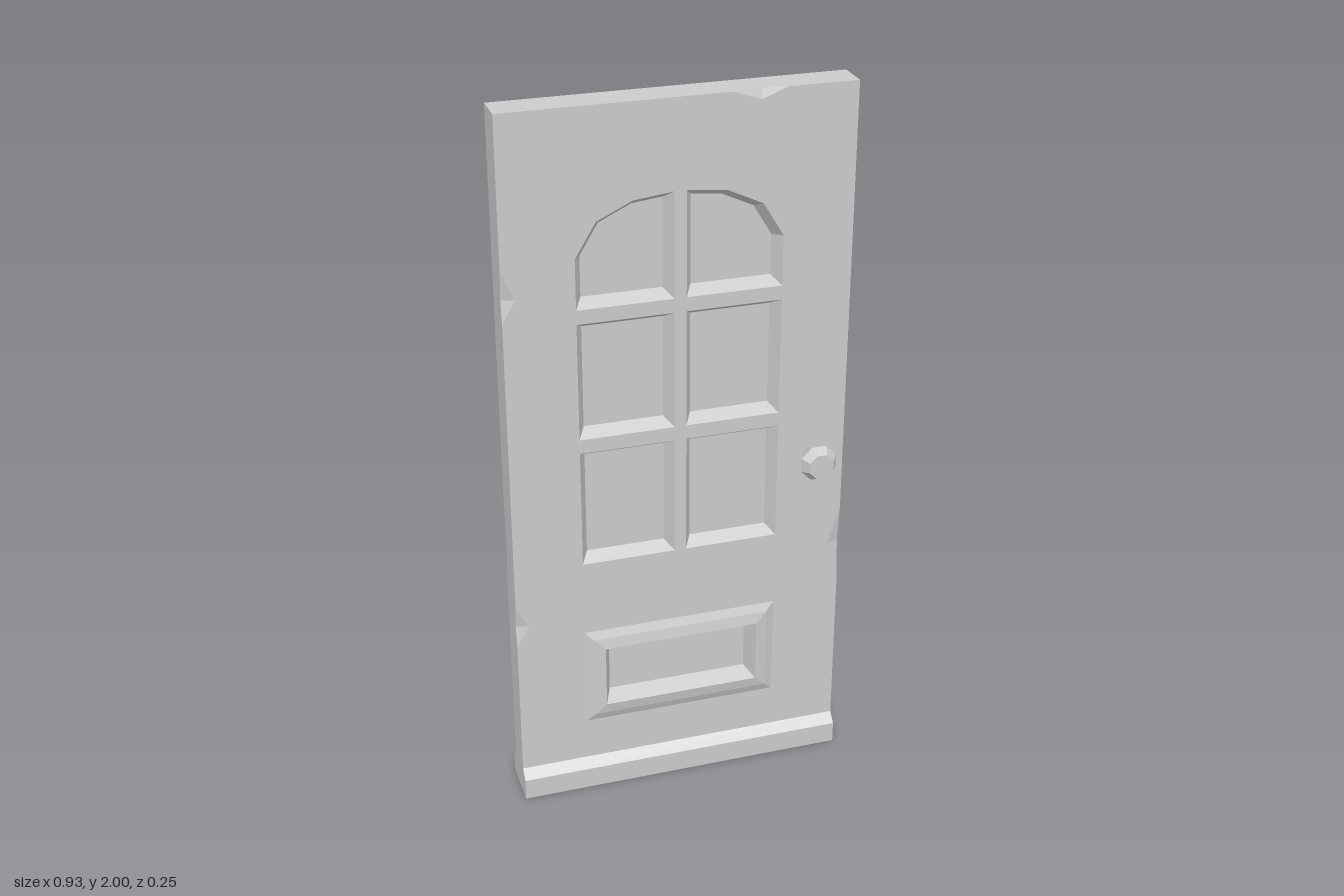
import * as THREE from 'three';

const W = 0.465, TOP = 2, BASE = 0.05, H = 0.046, MIDZ = -0.002;
const V2 = (x, y) => new THREE.Vector2(x, y);
const V3 = (x, y, z) => new THREE.Vector3(x, y, z);

const material = () => new THREE.MeshStandardMaterial({ color: 0xcccccc, flatShading: true });

function makeMesh(name, geometry) {
  const mesh = new THREE.Mesh(geometry, material());
  mesh.name = name;
  return mesh;
}

// Collects triangles; a negative direction reverses the winding
class Surface {
  constructor() { this.points = []; }
  tri(a, b, c, dir = 1) { this.points.push(a, ...(dir > 0 ? [b, c] : [c, b])); }
  polygon(contour, holes, place, dir) {
    const all = [contour, ...holes].flat();
    for (const f of THREE.ShapeUtils.triangulateShape(contour, holes)) {
      this.tri(...f.map((i) => place(all[i])), dir);
    }
  }
  band(outer, z0, inner, z1, dir) {
    outer.forEach((p, i) => {
      const j = (i + 1) % outer.length, q = outer[j];
      const a = V3(p.x, p.y, z0), b = V3(q.x, q.y, z0);
      const c = V3(inner[j].x, inner[j].y, z1), d = V3(inner[i].x, inner[i].y, z1);
      this.tri(a, b, c, dir);
      this.tri(a, c, d, dir);
    });
  }
  mesh(name) {
    const g = new THREE.BufferGeometry().setFromPoints(this.points);
    g.computeVertexNormals();
    return makeMesh(name, g);
  }
}

// Moves every side of a counter-clockwise outline inward by d
function inset(loop, d) {
  return loop.map((p, i) => {
    const prev = loop[(i + loop.length - 1) % loop.length], next = loop[(i + 1) % loop.length];
    const e = p.clone().sub(prev).normalize(), f = next.clone().sub(p).normalize();
    const n = V2(-e.y - f.y, e.x + f.x);
    return p.clone().addScaledVector(n, d / (1 + e.dot(f)));
  });
}

const rect = (x0, x1, y0, y1) => [V2(x0, y0), V2(x1, y0), V2(x1, y1), V2(x0, y1)];

// Outlines of the six window openings, the top pair forming an arch
const rightArch = [
  V2(0.016, 1.472), V2(0.275, 1.472), V2(0.275, 1.61),
  V2(0.219, 1.703), V2(0.124, 1.748), V2(0.016, 1.76),
];
const leftArch = rightArch.map((p) => V2(-p.x, p.y)).reverse();
const windows = [rightArch, leftArch];
for (const [y0, y1] of [[0.727, 1.065], [1.105, 1.433]]) {
  windows.push(rect(0.016, 0.275, y0, y1), rect(-0.275, -0.016, y0, y1));
}
const panelOutline = rect(-0.275, 0.275, 0.213, 0.508);

// Edges of the slab: position along the edge u and distance d in from it
const edges = {
  right: { from: BASE, to: TOP, dir: 1, at: (u, d) => V2(W - d, u) },
  top: { from: -W, to: W, dir: -1, at: (u, d) => V2(u, TOP - d) },
  left: { from: BASE, to: TOP, dir: -1, at: (u, d) => V2(d - W, u) },
};

// Worn chips: face, edge, start, middle, end, cut across the face, cut into the side
const chips = [
  [1, 'right', 0.55, 0.67, 0.78, 0.036, 0.011],
  [1, 'top', 0.13, 0.21, 0.275, 0.026, 0.009],
  [1, 'left', 1.46, 1.52, 1.6, 0.036, 0.01],
  [1, 'left', 0.5, 0.56, 0.62, 0.036, 0.01],
  [-1, 'right', 1.18, 1.34, 1.48, 0.03, 0.011],
  [-1, 'left', 0.67, 0.78, 0.95, 0.03, 0.012],
].map(([face, edge, a, m, b, cut, depth]) => ({ face, edge, a, m, b, cut, depth }));

// Points along one edge, dipping at each chip
function edgeLine(face, edge, key) {
  const { from, to } = edges[edge];
  const line = [V2(from, 0)];
  chips.filter((c) => c.face === face && c.edge === edge).sort((p, q) => p.a - q.a)
    .forEach((c) => line.push(V2(c.a, 0), V2(c.m, c[key]), V2(c.b, 0)));
  return [...line, V2(to, 0)];
}

function buildSlab() {
  const s = new Surface();
  for (const face of [1, -1]) {
    const along = (edge) => edgeLine(face, edge, 'cut').map((p) => edges[edge].at(p.x, p.y));
    const outline = [
      ...along('right'), ...along('top').reverse().slice(1), ...along('left').reverse().slice(1),
    ];
    const holes = [...windows, panelOutline].map((h) => [...h].reverse());
    s.polygon(outline, holes, (p) => V3(p.x, p.y, face * H), face);
  }
  for (const [name, e] of Object.entries(edges)) {
    const back = edgeLine(-1, name, 'depth').map((p) => V2(p.x, p.y - H));
    const front = edgeLine(1, name, 'depth').map((p) => V2(p.x, H - p.y)).reverse();
    s.polygon([...back, ...front], [], (p) => {
      const q = e.at(p.x, 0);
      return V3(q.x, q.y, p.y);
    }, e.dir);
  }
  for (const c of chips) {
    const e = edges[c.edge], dir = c.face * e.dir;
    const point = (u, d, depth) => {
      const q = e.at(u, d);
      return V3(q.x, q.y, c.face * (H - depth));
    };
    const onFace = point(c.m, c.cut, 0), onSide = point(c.m, 0, c.depth);
    s.tri(point(c.a, 0, 0), onSide, onFace, dir);
    s.tri(point(c.b, 0, 0), onFace, onSide, dir);
  }
  return s.mesh('doorSlab');
}

// Steps list [inset, height] from the slab face down to a closing pane, on both faces
function buildRecess(name, outline, steps) {
  const s = new Surface();
  for (const face of [1, -1]) {
    const loops = steps.map(([d]) => inset(outline, d));
    for (let i = 1; i < steps.length; i++) {
      s.band(loops[i - 1], face * steps[i - 1][1], loops[i], face * steps[i][1], face);
    }
    const z = face * steps[steps.length - 1][1];
    s.polygon(loops[loops.length - 1], [], (p) => V3(p.x, p.y, z), face);
  }
  return s.mesh(name);
}

export function createModel() {
  const door = new THREE.Group();
  door.name = 'door';
  door.add(buildSlab());

  // Window panes with sloped reveals
  windows.forEach((w, i) => door.add(buildRecess(`windowPane${i + 1}`, w, [[0, H], [0.021, 0.01]])));

  // Raised lower panel with a sunken centre
  door.add(buildRecess('lowerPanel', panelOutline,
    [[0, H], [0.024, 0.056], [0.055, 0.062], [0.076, 0.015]]));

  // Kick rail with a sloped top, extruded across the width
  const profile = new THREE.Shape([
    V2(-0.071, 0), V2(0.071, 0), V2(0.071, 0.062), V2(H, 0.088), V2(-H, 0.088), V2(-0.071, 0.062),
  ]);
  const railGeometry = new THREE.ExtrudeGeometry(profile, { depth: 2 * W, bevelEnabled: false });
  railGeometry.translate(0, 0, -W).rotateY(Math.PI / 2);
  door.add(makeMesh('kickRail', railGeometry));

  // Eight-sided knobs on both faces
  const knobProfile = [V2(0.025, 0), V2(0.053, 0.056), V2(0.037, 0.081), V2(0, 0.081)];
  for (const face of [1, -1]) {
    const knob = makeMesh(face > 0 ? 'frontKnob' : 'backKnob',
      new THREE.LatheGeometry(knobProfile, 8, Math.PI / 8));
    knob.rotation.x = face * Math.PI / 2;
    knob.position.set(0.373, 0.965, face * H);
    door.add(knob);
  }

  door.children.forEach((part) => { part.position.z += MIDZ; });
  return door;
}
